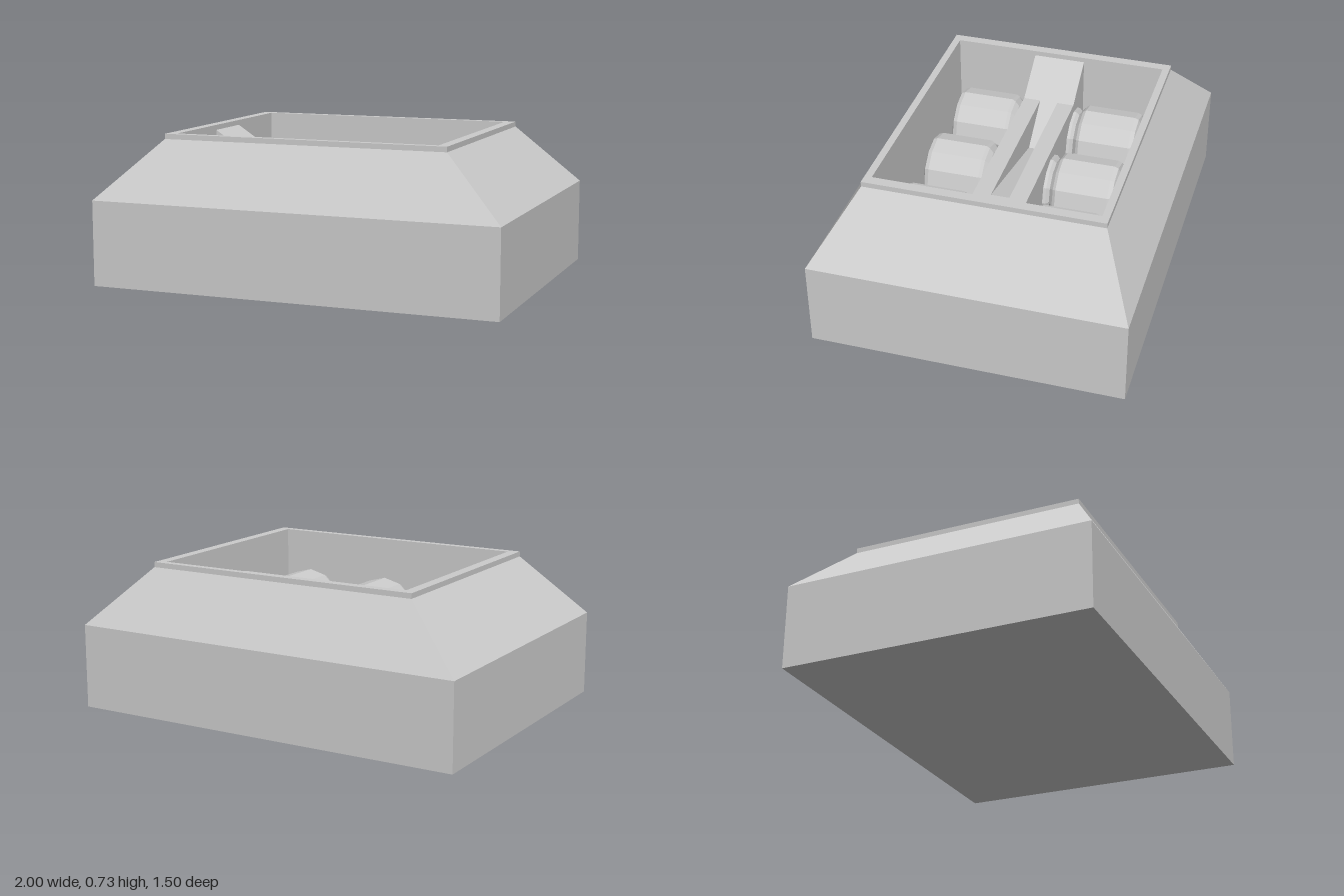
import * as THREE from 'three';

const grey = new THREE.MeshStandardMaterial({ color: 0xcccccc, flatShading: true });

function mesh(name, geometry) {
  const m = new THREE.Mesh(geometry, grey);
  m.name = name;
  return m;
}

// Skin a stack of rectangles [halfX, halfZ, y]; the first and last are capped
function rectangleLoft(sections) {
  const pos = [], idx = [];
  for (const [x, z, y] of sections) pos.push(-x, y, z, x, y, z, x, y, -z, -x, y, -z);
  for (let s = 0; s < sections.length - 1; s++) {
    for (let i = 0; i < 4; i++) {
      const a = s * 4 + i, b = s * 4 + (i + 1) % 4;
      idx.push(a, b, b + 4, a, b + 4, a + 4);
    }
  }
  const e = (sections.length - 1) * 4;
  idx.push(0, 2, 1, 0, 3, 2, e, e + 1, e + 2, e, e + 2, e + 3);
  const g = new THREE.BufferGeometry();
  g.setAttribute('position', new THREE.Float32BufferAttribute(pos, 3));
  g.setIndex(idx);
  const flat = g.toNonIndexed();
  flat.computeVertexNormals();
  return flat;
}

// Extrude an x-y side profile between two z values
function slab(profile, z0, z1) {
  const shape = new THREE.Shape(profile.map(([x, y]) => new THREE.Vector2(x, y)));
  return new THREE.ExtrudeGeometry(shape, { depth: z1 - z0, bevelEnabled: false }).translate(0, 0, z0);
}

export function createModel() {
  const model = new THREE.Group();
  model.name = 'openCrate';
  const floorY = 0.19;

  // Crate: straight base, sloping shoulders, low rim and hollow inside
  model.add(mesh('crateShell', rectangleLoft([
    [1, 0.75, 0], [1, 0.75, 0.413], [0.7, 0.575, 0.7], [0.7, 0.575, 0.725],
    [0.65, 0.54, 0.725], [0.65, 0.54, floorY],
  ])));

  // Divider: ramp at one end, with a tapering groove along the middle
  const divider = new THREE.Group();
  divider.name = 'divider';
  const side = [[-0.65, floorY], [0.65, floorY], [0.65, 0.565], [-0.44, 0.565], [-0.65, 0.7]];
  const groove = [[-0.65, floorY], [0.65, floorY], [0.65, 0.565], [0.42, 0.565],
    [-0.23, 0.41], [-0.44, 0.565], [-0.65, 0.7]];
  divider.add(
    mesh('dividerBackRail', slab(side, -0.13, -0.045)),
    mesh('dividerGroove', slab(groove, -0.045, 0.045)),
    mesh('dividerFrontRail', slab(side, 0.045, 0.13)),
  );
  model.add(divider);

  // Two rows of three canisters lying with their necks towards the divider
  const profile = [[0, 0.1], [0.13, 0.1], [0.155, 0.125], [0.155, 0.145], [0.14, 0.16],
    [0.165, 0.18], [0.175, 0.195], [0.175, 0.45], [0.167, 0.47], [0.145, 0.48], [0, 0.48]];
  const canister = new THREE.LatheGeometry(profile.map(([r, y]) => new THREE.Vector2(r, y)), 12);
  for (const row of [1, -1]) {
    for (const x of [-0.45, 0, 0.45]) {
      const can = mesh(row > 0 ? 'frontCanister' : 'backCanister', canister);
      can.position.set(x, floorY + 0.175, 0);
      can.rotation.x = row * Math.PI / 2;
      model.add(can);
    }
  }
  return model;
}
